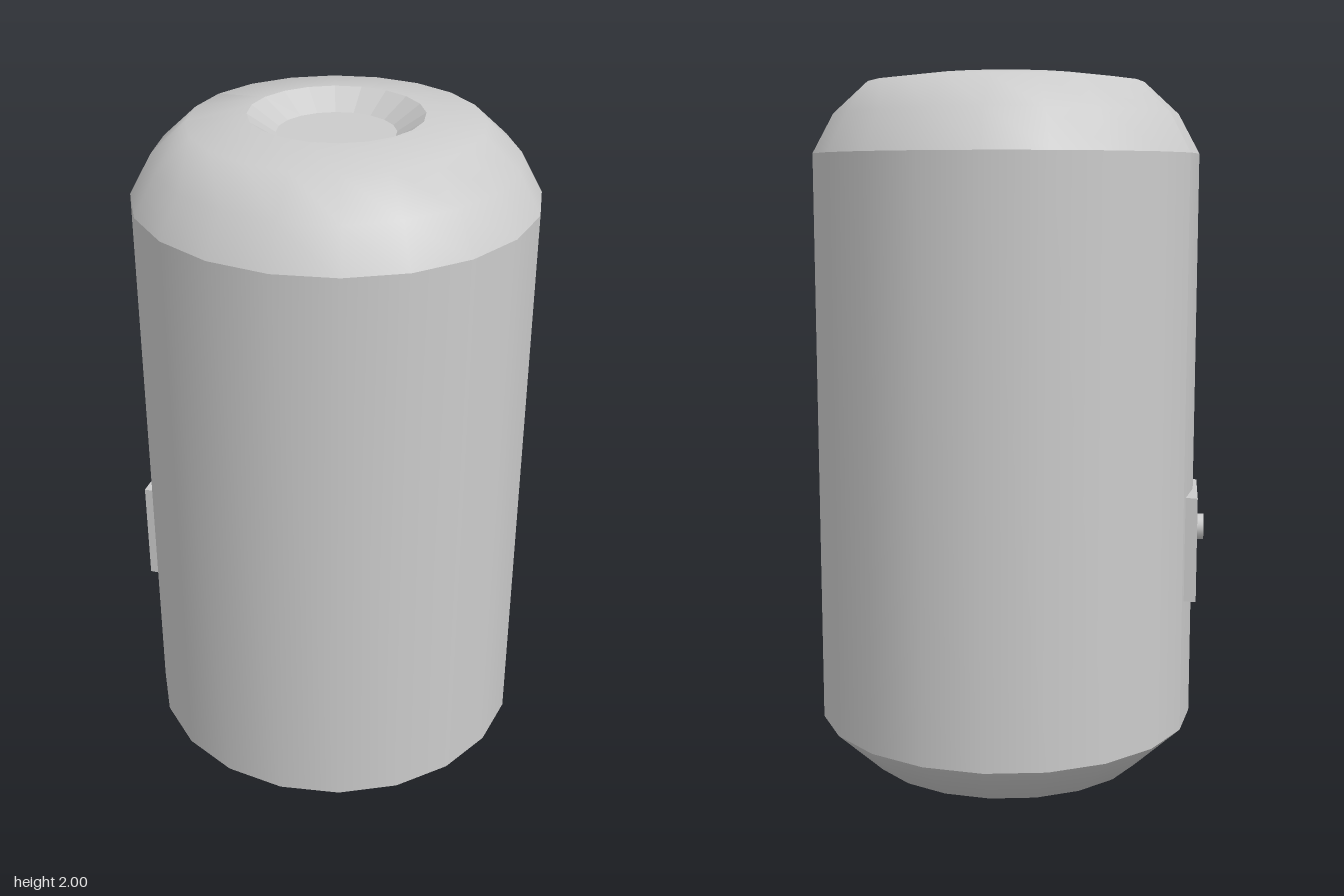
import * as THREE from 'three';

const R = 0.553;
const STEP = Math.PI / 10; // 20-sided body

export function createModel() {
  const model = new THREE.Group();
  const material = new THREE.MeshStandardMaterial({ color: 0xcccccc });
  const flat = new THREE.MeshStandardMaterial({ color: 0xcccccc, flatShading: true });

  const add = (parent, name, geometry, mat = material) => {
    const mesh = new THREE.Mesh(geometry, mat);
    mesh.name = name;
    parent.add(mesh);
    return mesh;
  };
  // Revolved profile, listed from the bottom upwards
  const lathe = (profile, sides = 20, start = 0) => new THREE.LatheGeometry(
    profile.map(([r, y]) => new THREE.Vector2(r, y)), sides, start, sides * STEP);

  const tank = new THREE.Group();
  tank.name = 'tank';
  tank.position.x = 0.016;
  model.add(tank);

  // Bevelled base
  add(tank, 'base', lathe([[0, 0], [0.415, 0], [R, 0.13]]));

  // Wall and domed shoulder, with a separate two-sided panel facing -x
  const wall = [[R, 0.13], [R, 1.78]];
  const shoulder = [[R, 1.78], [0.493, 1.89], [0.395, 1.98], [0.235, 2]];
  const panelStart = 1.5 * Math.PI - STEP;
  const panelEnd = 1.5 * Math.PI + STEP;
  add(tank, 'wall', lathe(wall, 18, panelEnd));
  add(tank, 'shoulder', lathe(shoulder, 18, panelEnd));
  for (const [name, profile] of [['panelWall', wall], ['panelShoulder', shoulder]]) {
    const geometry = lathe(profile, 2, panelStart);
    geometry.computeVertexNormals();
    add(tank, name, geometry);
  }

  // Recess in the top
  add(tank, 'recess', lathe([[0.235, 2], [0.16, 1.95], [0, 1.95]]), flat);

  // Plate and button on the panel
  add(model, 'plate', new THREE.BoxGeometry(0.035, 0.305, 0.276)).position.set(-0.532, 0.658, 0);
  const button = add(model, 'button', new THREE.CylinderGeometry(0.038, 0.038, 0.03, 16));
  button.rotation.z = Math.PI / 2;
  button.position.set(-0.555, 0.697, 0);

  return model;
}
